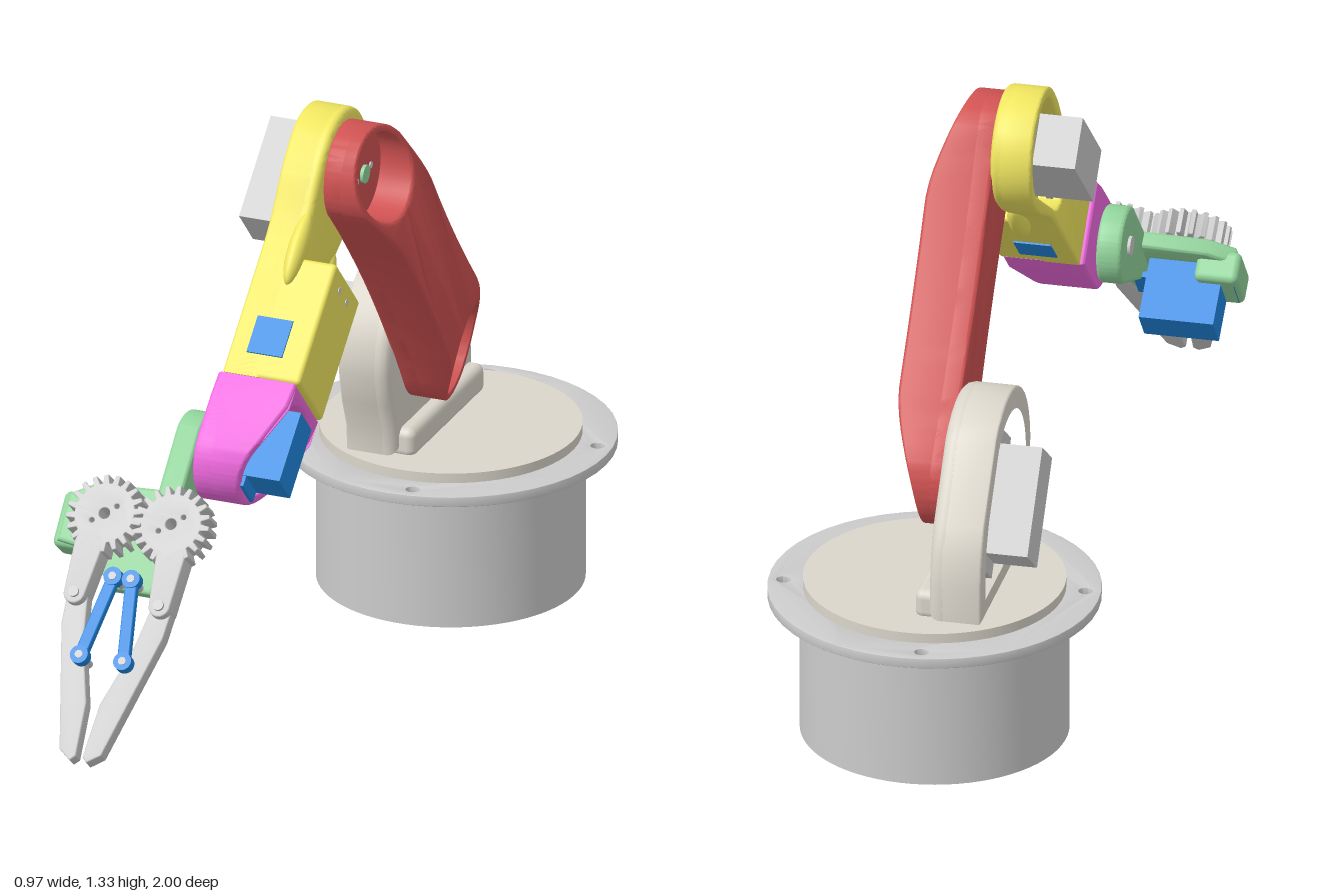
import * as THREE from 'three';
import { toCreasedNormals } from 'three/addons/utils/BufferGeometryUtils.js';
import { RoundedBoxGeometry } from 'three/addons/geometries/RoundedBoxGeometry.js';

const mat = (color) => new THREE.MeshStandardMaterial({ color });
const GREY = mat(0xcccccc), BEIGE = mat(0xdbd6cb), RED = mat(0xd05252), YELLOW = mat(0xf0e660),
  PINK = mat(0xf06ae0), GREEN = mat(0x92d49c), BLUE = mat(0x2288e0);

function add(parent, name, geometry, material, x = 0, y = 0, z = 0) {
  const mesh = new THREE.Mesh(geometry, material);
  mesh.name = name;
  mesh.position.set(x, y, z);
  parent.add(mesh);
  return mesh;
}

// Rounded bar from (0,0) to (L,0) with end radii r1, r2 and an optional waist
function bar(r1, r2, L, waist) {
  const s = new THREE.Shape();
  s.absarc(0, 0, r1, Math.PI / 2, Math.PI * 1.5);
  if (waist) s.quadraticCurveTo(L / 2, -waist, L, -r2);
  s.absarc(L, 0, r2, -Math.PI / 2, Math.PI / 2);
  if (waist) s.quadraticCurveTo(L / 2, waist, 0, r1);
  return s;
}

const poly = (pts) => new THREE.Shape(pts.map(([x, y]) => new THREE.Vector2(x, y)));
const circle = (x, y, r) => new THREE.Path().absarc(x, y, r, 0, Math.PI * 2);

// Extrusion between z0 and z1; taper(x) optionally gives the top height along the part
function slab(shape, z0, z1, bevel = 0.004, taper) {
  let g = new THREE.ExtrudeGeometry(shape, {
    depth: z1 - z0 - 2 * bevel, bevelThickness: bevel, bevelSize: bevel,
    bevelOffset: -bevel, bevelSegments: 3, curveSegments: 24,
  });
  g.translate(0, 0, z0 + bevel);
  if (taper) {
    const p = g.attributes.position;
    for (let i = 0; i < p.count; i++) {
      p.setZ(i, z0 + (p.getZ(i) - z0) * (taper(p.getX(i)) - z0) / (z1 - z0));
    }
  }
  return toCreasedNormals(g, 0.6);
}

const pin = (r, h) => new THREE.CylinderGeometry(r, r, h, 24).rotateX(Math.PI / 2);

// Link frame: x runs along the link (pitched down by angle), z points to the side
function frame(parent, name, y, z, angle) {
  const g = new THREE.Group();
  g.name = name;
  const c = Math.cos(angle), s = Math.sin(angle);
  g.quaternion.setFromRotationMatrix(new THREE.Matrix4().makeBasis(
    new THREE.Vector3(0, -s, c), new THREE.Vector3(0, -c, -s), new THREE.Vector3(1, 0, 0)));
  g.position.set(0, y, z);
  parent.add(g);
  return g;
}

function buildBase(root) {
  const profile = [[0, 0.3], [0.27, 0.3], [0.27, 0], [0.3, 0], [0.3, 0.335], [0, 0.335]]
    .map(([x, y]) => new THREE.Vector2(x, y));
  const wall = GREY.clone();
  wall.side = THREE.DoubleSide;
  add(root, 'baseDrum', toCreasedNormals(new THREE.LatheGeometry(profile, 72), 0.6), wall);
  const ring = new THREE.Shape().absarc(0, 0, 0.372, 0, Math.PI * 2);
  ring.holes.push(circle(0, 0, 0.28));
  for (let i = 0; i < 4; i++) {
    ring.holes.push(circle(0.337 * Math.cos(i * Math.PI / 2), 0.337 * Math.sin(i * Math.PI / 2), 0.016));
  }
  add(root, 'baseFlange', slab(ring, 0, 0.024, 0.001).rotateX(-Math.PI / 2), GREY, 0, 0.323, 0);
  add(root, 'turntable', new THREE.CylinderGeometry(0.293, 0.293, 0.036, 72), BEIGE, 0, 0.352, 0);
  add(root, 'baseServo', new THREE.BoxGeometry(0.25, 0.16, 0.12), GREY, 0, 0.225, 0);
  add(root, 'cablePort', pin(0.026, 0.012).rotateY(Math.PI / 2), BEIGE, -0.297, 0.26, 0);
}

function buildShoulder(arm) {
  const g = frame(arm, 'shoulder', 0, 0, 0);
  const pts = [[-0.22, 0.37], [0.232, 0.37], [0.236, 0.43], [0.262, 0.5]];
  for (let i = 0; i <= 14; i++) {
    const a = -0.1 + i * 0.17;
    pts.push([0.075 + 0.205 * Math.cos(a), 0.595 + 0.205 * Math.sin(a)]);
  }
  pts.push([-0.18, 0.59], [-0.21, 0.52], [-0.22, 0.45]);
  const outline = poly(pts.map(([x, y]) => [x, -y]));
  const inner = poly(pts.map(([x, y]) => [0.04 + (x - 0.04) * 0.82, -(0.56 + (y - 0.56) * 0.82)]));
  add(g, 'shoulderFloor', slab(outline, -0.09, -0.035, 0.022), BEIGE);
  const rim = outline.clone();
  rim.holes.push(inner);
  add(g, 'shoulderRim', slab(rim, -0.155, -0.06, 0.005), BEIGE);
  add(g, 'shoulderFoot', new RoundedBoxGeometry(0.42, 0.07, 0.11, 3, 0.02), BEIGE, 0.005, -0.395, -0.055);
  const servo = add(g, 'shoulderServo', new THREE.BoxGeometry(0.25, 0.12, 0.16), GREY, 0.02, -0.555, -0.155);
  servo.rotation.z = -0.925;
  const ears = add(g, 'shoulderServoEars', new THREE.BoxGeometry(0.32, 0.11, 0.015), GREY, 0.02, -0.555, -0.13);
  ears.rotation.z = -0.925;
}

function buildUpperArm(arm) {
  const L = 0.75, g = frame(arm, 'upperArm', 0.59, 0.085, -0.925);
  const shape = bar(0.12, 0.117, L, 0.075);
  // Outer face thins out toward both rounded ends
  const taper = (x) => 0.03 + 0.075 * THREE.MathUtils.smoothstep(L / 2 - Math.abs(x - L / 2), -0.16, 0.17);
  add(g, 'upperArmFloor', slab(shape, -0.04, 0.012, 0.008), RED);
  shape.holes.push(circle(0, 0, 0.103), circle(L, 0, 0.1));
  add(g, 'upperArmShell', slab(shape, -0.04, 0.105, 0.008, taper), RED);
  for (const x of [0, L]) {
    add(g, 'jointPin', pin(0.021, 0.03), GREEN, x, 0, 0.005);
    for (const s of [-1, 1]) add(g, 'jointScrew', pin(0.008, 0.01), GREY, x + s * 0.02, s * 0.035, 0.01);
  }
}

function buildForearm(arm) {
  const g = frame(arm, 'forearm', 1.19, 0.525, 0.742);
  const shape = new THREE.Shape();
  shape.absarc(0, 0, 0.138, Math.PI / 2, Math.PI * 1.5);
  shape.bezierCurveTo(0.12, -0.138, 0.14, -0.1, 0.26, -0.1);
  shape.lineTo(0.57, -0.1);
  shape.lineTo(0.57, 0.1);
  shape.lineTo(0.26, 0.1);
  shape.bezierCurveTo(0.14, 0.1, 0.12, 0.138, 0, 0.138);
  add(g, 'forearmFloor', slab(shape, -0.075, -0.035, 0.015), YELLOW);
  const pocket = bar(0.112, 0.08, 0.2);
  shape.holes.push(pocket);
  add(g, 'forearmRim', slab(shape, -0.13, -0.05, 0.006), YELLOW);
  add(g, 'forearmBox', new RoundedBoxGeometry(0.3, 0.2, 0.185, 3, 0.01), YELLOW, 0.42, 0, -0.0375);
  add(g, 'forearmServo', new THREE.BoxGeometry(0.25, 0.12, 0.16), GREY, 0.055, 0, -0.14);
  add(g, 'forearmServoEars', new THREE.BoxGeometry(0.31, 0.11, 0.015), GREY, 0.055, 0, -0.115);
  add(g, 'wristDriveServo', new THREE.BoxGeometry(0.09, 0.208, 0.085), BLUE, 0.47, 0, -0.045);
  for (const s of [-1, 1]) {
    const fin = add(g, 'cableFairing', new THREE.SphereGeometry(1, 24, 16), YELLOW, 0.25, s * 0.1, -0.045);
    fin.scale.set(0.09, 0.03, 0.022);
  }
  for (const [x, y] of [[0.31, -0.04], [0.31, 0.02]]) add(g, 'boxScrew', pin(0.008, 0.004), GREY, x, y, 0.055);
}

function buildWrist(arm) {
  const g = frame(arm, 'wrist', 1.19, 0.525, 0.742);
  const shape = new THREE.Shape();
  shape.moveTo(0.57, 0.098);
  shape.lineTo(0.57, -0.098);
  shape.lineTo(0.63, -0.104);
  shape.absarc(0.725, 0, 0.104, -Math.PI / 2, Math.PI / 2);
  shape.lineTo(0.63, 0.104);
  const taper = (x) => 0.048 - 0.085 * THREE.MathUtils.smoothstep(x, 0.6, 0.85);
  add(g, 'wristFloor', slab(shape, -0.14, -0.085, 0.012), PINK);
  const pocket = bar(0.078, 0.082, 0.095);
  shape.holes.push(poly(pocket.getPoints(16).map((p) => [p.x + 0.63 + (p.x < 0 ? -p.x * 0.6 : 0), p.y])));
  add(g, 'wristShell', slab(shape, -0.14, 0.048, 0.008, taper), PINK);
  add(g, 'wristServo', new THREE.BoxGeometry(0.17, 0.09, 0.16), BLUE, 0.7, 0, -0.022);
  add(g, 'wristServoEars', new THREE.BoxGeometry(0.22, 0.085, 0.015), BLUE, 0.7, 0, -0.03);

  // Side bracket joining the wrist pivot to the gripper
  const b = frame(arm, 'gripperBracket', 0.7, 1.06, 0.6);
  add(b, 'bracketArm', slab(bar(0.088, 0.04, 0.23), -0.2, -0.143, 0.008), GREEN);
  add(b, 'bracketPin', pin(0.022, 0.07), GREY, 0, 0, -0.172);
}

function buildGripper(arm) {
  const g = new THREE.Group();
  g.name = 'gripper';
  g.position.set(-0.205, 0.615, 1.3);
  g.rotation.x = -0.7;
  arm.add(g);

  const rod = (name, a, b, r1, r2, z0, z1, material) => {
    const m = add(g, name, slab(bar(r1, r2, Math.hypot(b[0] - a[0], b[1] - a[1])), z0, z1, 0.003), material, a[0], a[1]);
    m.rotation.z = Math.atan2(b[1] - a[1], b[0] - a[0]);
  };

  const plate = poly([[-0.2, 0.05], [-0.14, 0.085], [0.06, 0.095], [0.1, 0.05], [0.1, -0.03],
    [0.05, -0.15], [-0.05, -0.15], [-0.12, -0.07], [-0.2, -0.06]]);
  add(g, 'gripperPlate', slab(plate, -0.075, -0.035, 0.008), GREEN);
  add(g, 'servoMount', new RoundedBoxGeometry(0.1, 0.13, 0.075, 3, 0.015), GREEN, -0.165, -0.005, -0.085);
  add(g, 'gripperServo', new THREE.BoxGeometry(0.17, 0.09, 0.15), BLUE, -0.09, -0.01, -0.145);
  add(g, 'gripperServoEars', new THREE.BoxGeometry(0.23, 0.085, 0.014), BLUE, -0.09, -0.01, -0.115);

  const teeth = 20;
  for (const s of [-1, 1]) {
    // Gear, with the two sides offset by half a tooth so they mesh
    const pts = [];
    for (let i = 0; i < teeth; i++) {
      [[0, 0.07], [0.3, 0.07], [0.45, 0.09], [0.8, 0.09]].forEach(([f, r]) => {
        const a = (i + f + (s > 0 ? 0.5 : 0)) / teeth * Math.PI * 2;
        pts.push([r * Math.cos(a), r * Math.sin(a)]);
      });
    }
    const gear = poly(pts);
    gear.holes.push(circle(0, 0, 0.013), circle(0.025, 0.02, 0.006), circle(-0.025, -0.02, 0.006));
    add(g, 'gear', slab(gear, -0.03, 0.03, 0.002), GREY, s * 0.08, 0);
    rod('gearLever', [s * 0.098, -0.075], [s * 0.102, -0.19], 0.034, 0.025, -0.03, 0.03, GREY);
    add(g, 'leverPin', pin(0.012, 0.075), GREY, s * 0.102, -0.19, 0);

    // Tapered finger
    const finger = poly([[0.08, -0.17], [0.105, -0.162], [0.126, -0.185], [0.122, -0.257],
      [0.05, -0.545], [0.02, -0.567], [0.008, -0.555], [0.016, -0.43], [0.06, -0.29]].map(([x, y]) => [s * x, y]));
    add(g, 'finger', slab(finger, -0.03, 0.008, 0.003), GREY);

    // Parallel link
    rod('fingerLink', [s * 0.022, -0.14], [s * 0.052, -0.33], 0.014, 0.014, 0.01, 0.03, BLUE);
    for (const [x, y] of [[0.022, -0.14], [0.052, -0.33]]) {
      add(g, 'linkBoss', pin(0.021, 0.026), BLUE, s * x, y, 0.021);
      add(g, 'linkPin', pin(0.009, 0.08), GREY, s * x, y, -0.004);
    }
  }
}

export function createModel() {
  const root = new THREE.Group();
  root.name = 'roboticArm';
  const body = new THREE.Group();
  body.name = 'body';
  body.position.set(0.11, 0, -0.627);
  root.add(body);
  buildBase(body);
  // Everything above the turntable swings slightly to one side
  const arm = new THREE.Group();
  arm.name = 'arm';
  arm.rotation.y = -0.14;
  body.add(arm);
  [buildShoulder, buildUpperArm, buildForearm, buildWrist, buildGripper].forEach((build) => build(arm));
  return root;
}
